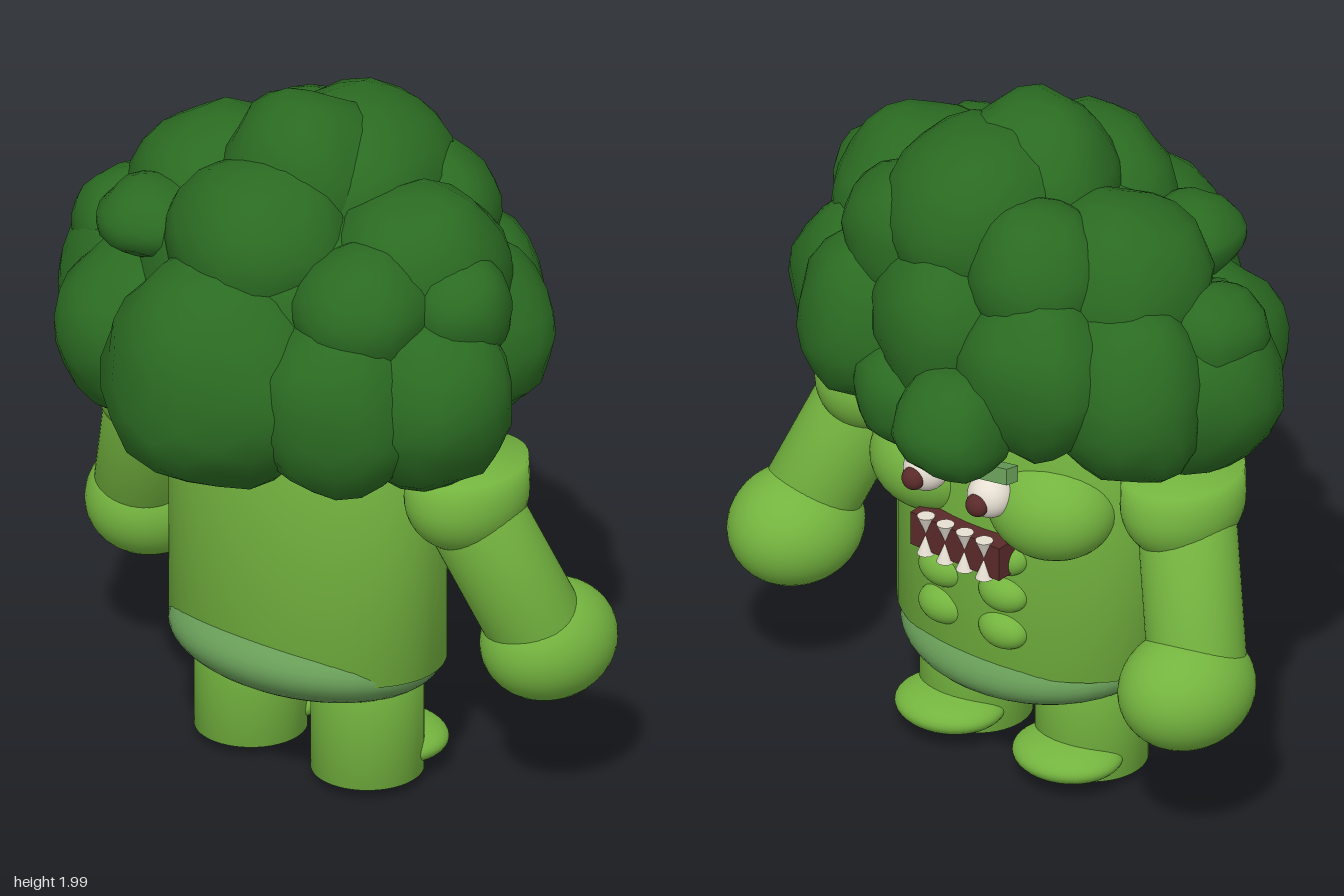
import * as THREE from 'three';
import { mergeVertices, mergeGeometries } from 'three/addons/utils/BufferGeometryUtils.js';

const mat = (name, color) => {
  const m = new THREE.MeshStandardMaterial({ color });
  m.name = name;
  return m;
};

// Weld a geometry so its normals can run smoothly over every edge
function weld(g) {
  g.deleteAttribute('normal');
  g.deleteAttribute('uv');
  return mergeVertices(g, 1e-4);
}

// One lumpy floret: an icosphere pushed in and out by smooth waves
function floret([x, y, z, rx, ry, rz], seed) {
  const g = weld(new THREE.IcosahedronGeometry(1, 3));
  const p = g.attributes.position, v = new THREE.Vector3();
  for (let i = 0; i < p.count; i++) {
    v.fromBufferAttribute(p, i);
    const wave = 0.025 * Math.sin(4.1 * v.x + seed * 1.7) + 0.025 * Math.sin(4.7 * v.y + 2 * v.z + seed * 2.9)
      + 0.025 * Math.sin(5.3 * v.z - 3 * v.x + seed * 4.3) + 0.02 * Math.sin(11 * v.x + 9 * v.y + seed);
    v.multiplyScalar(1 + wave);
    p.setXYZ(i, x + v.x * rx, y + v.y * ry, z + v.z * rz);
  }
  g.computeVertexNormals();
  return g;
}

export function createModel() {
  const root = new THREE.Group();
  root.name = 'broccoliMonster';
  const skin = mat('stalk green', 0x74b43f);
  const leaf = mat('floret green', 0x2b6b22);
  const pale = mat('pale green', 0x689d58);
  const white = mat('ivory', 0xe6dfd2);
  const dark = mat('dark maroon', 0x5a2a2a);

  const add = (name, geo, m, pos, scale = [1, 1, 1], rot = [0, 0, 0]) => {
    const mesh = new THREE.Mesh(geo, m);
    mesh.name = name;
    mesh.position.set(...pos);
    mesh.scale.set(...scale);
    mesh.rotation.set(...rot);
    root.add(mesh);
    return mesh;
  };
  const ball = new THREE.SphereGeometry(1, 40, 24);
  const tube = weld(new THREE.CylinderGeometry(1, 1, 1, 48));
  tube.computeVertexNormals();
  const tooth = new THREE.ConeGeometry(0.025, 0.058, 12);
  const brow = new THREE.BoxGeometry(0.17, 0.045, 0.05);

  // Round-bottomed shoulder cup with an upright rim
  const cupProfile = [];
  for (let i = 0; i <= 12; i++) {
    const a = (i / 12) * Math.PI / 2;
    cupProfile.push(new THREE.Vector2(Math.sin(a), -Math.cos(a)));
  }
  cupProfile.push(new THREE.Vector2(0.98, 0.6), new THREE.Vector2(0, 0.62));
  const cup = new THREE.LatheGeometry(cupProfile, 40);

  // Torso and belly
  add('torso', tube, skin, [0, 0.785, 0], [0.425, 0.82, 0.285]);
  add('belly', ball, pale, [0, 0.367, 0.01], [0.4, 0.135, 0.325], [-0.12, 0, 0]);

  const up = new THREE.Vector3(0, 1, 0);
  for (const s of [1, -1]) {
    const side = s > 0 ? 'left' : 'right';
    // Leg, sole and foot
    add(side + 'Leg', tube, skin, [s * 0.202, 0.205, -0.005], [0.154, 0.35, 0.154]);
    add(side + 'Sole', ball, skin, [s * 0.202, 0.033, -0.01], [0.142, 0.033, 0.142]);
    add(side + 'Foot', ball, skin, [s * 0.206, 0.085, -0.11], [0.157, 0.058, 0.142]);

    // Shoulder, arm and fist
    add(side + 'Shoulder', cup, skin, [s * 0.535, 0.96, -0.02], [0.157, 0.16, 0.19]);
    const a = new THREE.Vector3(s * 0.535, 0.95, -0.01);
    const b = new THREE.Vector3(s * 0.69, 0.53, -0.145);
    const arm = add(side + 'Arm', tube, skin, a.clone().lerp(b, 0.5).toArray(), [0.135, a.distanceTo(b), 0.135]);
    arm.quaternion.setFromUnitVectors(up, a.clone().sub(b).normalize());
    add(side + 'Fist', ball, skin, [s * 0.685, 0.498, -0.185], [0.177, 0.164, 0.202]);

    // Chest and stomach muscles
    add(side + 'Chest', ball, skin, [s * 0.205, 0.89, -0.175], [0.185, 0.15, 0.168]);
    [0.73, 0.615, 0.5].forEach((y, i) =>
      add(side + 'Abdominal' + (i + 1), ball, skin, [s * 0.105, y, -0.258], [0.078, 0.056, 0.055]));

    // Eye and angry brow
    add(side + 'Eye', ball, white, [s * 0.112, 0.95, -0.325], [0.063, 0.063, 0.063]);
    add(side + 'Pupil', ball, dark, [s * 0.112, 0.942, -0.38], [0.033, 0.033, 0.03]);
    add(side + 'Brow', brow, pale, [s * 0.12, 1.04, -0.345], [1, 1, 1], [0.2, 0, s * 0.15]);
  }

  // Mouth with two rows of pointed teeth
  add('mouth', new THREE.BoxGeometry(0.31, 0.1, 0.09), dark, [0, 0.752, -0.295]);
  for (let i = 0; i < 4; i++) {
    const x = -0.102 + i * 0.068;
    add('upperTooth' + (i + 1), tooth, white, [x, 0.78, -0.338], [1, 1, 1], [Math.PI, 0, 0]);
    add('lowerTooth' + (i + 1), tooth, white, [x, 0.722, -0.338]);
  }

  // Crown of overlapping florets: centre x y z, then radii
  const florets = [
    [0, 1.42, 0, 0.56, 0.36, 0.44],
    // top
    [0.06, 1.71, -0.13, 0.26, 0.25, 0.32],
    [0, 1.76, 0, 0.235, 0.235, 0.23],
    [0, 1.62, 0.2, 0.27, 0.25, 0.25],
    // front
    [0, 1.31, 0.36, 0.34, 0.34, 0.31],
    // right side
    [-0.36, 1.27, 0.24, 0.26, 0.25, 0.24],
    [-0.51, 1.3, 0.05, 0.245, 0.28, 0.25],
    [-0.33, 1.58, -0.04, 0.26, 0.24, 0.25],
    [-0.35, 1.61, 0.23, 0.155, 0.11, 0.15],
    [-0.47, 1.34, -0.18, 0.22, 0.27, 0.21],
    [-0.59, 1.46, 0.05, 0.13, 0.15, 0.16],
    // left side
    [0.34, 1.29, 0.27, 0.25, 0.27, 0.25],
    [0.51, 1.3, 0.12, 0.235, 0.27, 0.23],
    [0.37, 1.58, -0.02, 0.24, 0.24, 0.26],
    [0.36, 1.54, 0.2, 0.2, 0.19, 0.2],
    [0.43, 1.36, -0.18, 0.22, 0.27, 0.21],
    [0.56, 1.54, 0.03, 0.13, 0.15, 0.15],
    // back
    [-0.28, 1.4, -0.33, 0.22, 0.26, 0.2],
    [0.3, 1.36, -0.31, 0.22, 0.25, 0.21],
    [0.02, 1.45, -0.34, 0.22, 0.25, 0.21],
    [-0.14, 1.27, -0.51, 0.16, 0.16, 0.17],
    [0.08, 1.24, -0.39, 0.18, 0.16, 0.17],
    [-0.2, 1.64, -0.24, 0.2, 0.2, 0.19],
    [0.22, 1.62, -0.25, 0.2, 0.21, 0.19],
  ];
  add('floretCrown', mergeGeometries(florets.map((f, i) => floret(f, i + 1))), leaf, [0, 0, 0]);

  return root;
}
